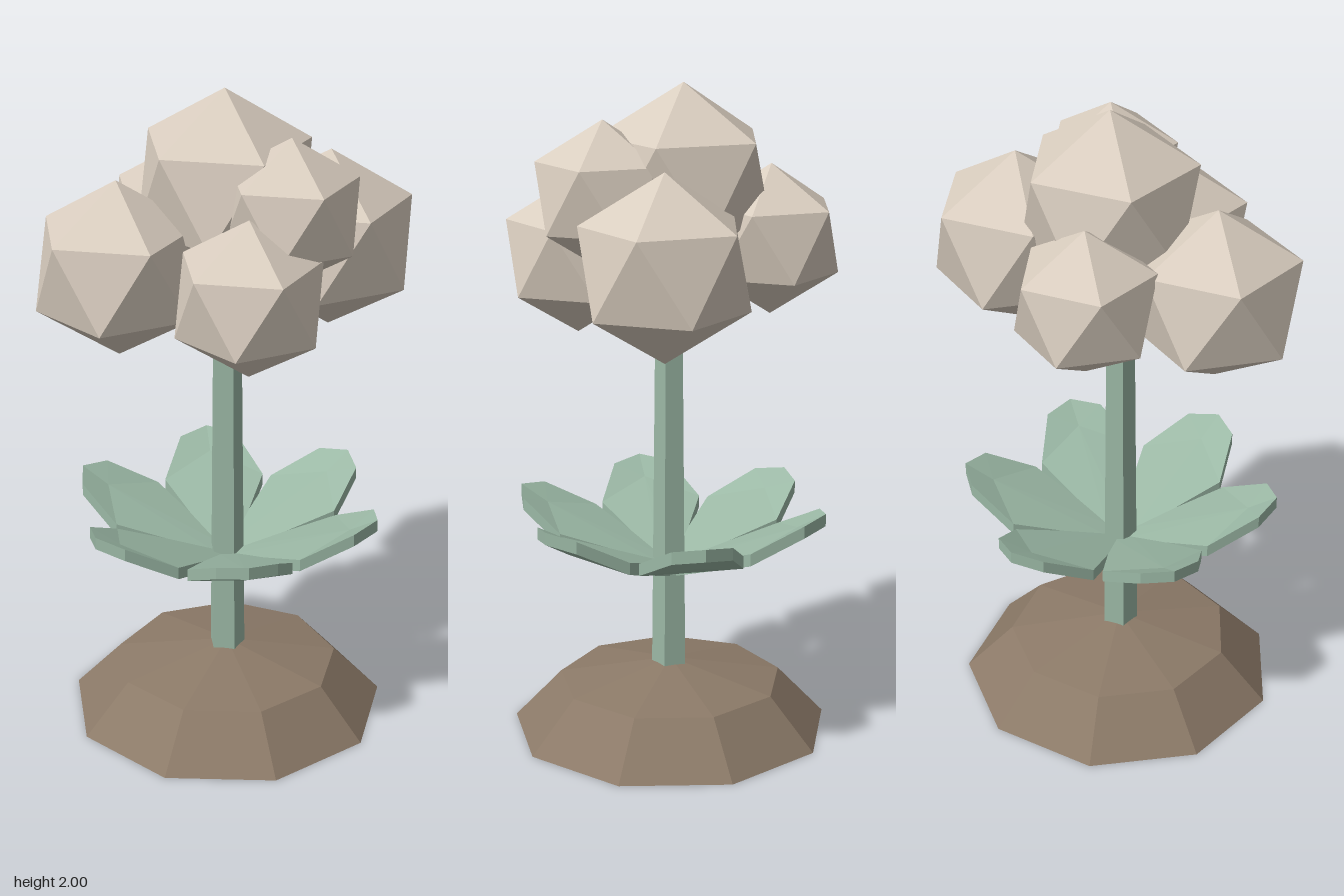
import * as THREE from 'three';

const flat = (name, color) => new THREE.MeshStandardMaterial({ name, color, flatShading: true });

// Leaf pointing along +z: a fan around a sunken midrib point, given thickness
function leafGeometry(thickness) {
  const half = [[0.09, 0.72, 0.445], [0.157, 0.64, 0.3], [0.028, 0.535, 0.02]];
  const outline = [
    [0, 0.735, 0.487],
    ...half,
    ...half.map(([x, y, z]) => [-x, y, z]).reverse(),
  ];
  const top = [...outline, [0, 0.685, 0.4]];
  const n = outline.length, m = n + 1;
  const positions = [...top, ...top.map(([x, y, z]) => [x, y - thickness, z])].flat();
  const index = [];
  for (let i = 0; i < n; i++) {
    const j = (i + 1) % n;
    index.push(n, i, j);                          // upper face
    index.push(n + m, j + m, i + m);              // underside
    index.push(i, i + m, j + m, i, j + m, j);     // rim
  }
  const g = new THREE.BufferGeometry();
  g.setAttribute('position', new THREE.Float32BufferAttribute(positions, 3));
  g.setIndex(index);
  const out = g.toNonIndexed();
  out.computeVertexNormals();
  return out;
}

// Icosahedron standing on a corner, upper ring starting at +x
function blossomGeometry(radius) {
  const golden = (1 + Math.sqrt(5)) / 2;
  return new THREE.IcosahedronGeometry(radius, 0)
    .rotateX(-Math.atan(golden))
    .rotateY(Math.PI / 2);
}

export function createModel() {
  const model = new THREE.Group();
  model.name = 'flower';
  const soil = flat('soil', 0x8c7a68);
  const green = flat('leafGreen', 0x9bb8a5);
  const cream = flat('blossomCream', 0xd9cdbf);

  const add = (parent, name, geometry, material) => {
    const mesh = new THREE.Mesh(geometry, material);
    mesh.name = name;
    parent.add(mesh);
    return mesh;
  };

  // Nine-sided earth mound with a closed base
  const profile = [[0, 0], [0.49, 0], [0.345, 0.155], [0, 0.22]].map(([r, y]) => new THREE.Vector2(r, y));
  add(model, 'mound', new THREE.LatheGeometry(profile, 9, Math.PI / 2), soil);

  // Tapered five-sided stem
  const stem = add(model, 'stem',
    new THREE.CylinderGeometry(0.046, 0.057, 1.03, 5, 1, false, Math.PI / 2), green);
  stem.position.y = 0.695;

  // Ring of six leaves
  const leaves = new THREE.Group();
  leaves.name = 'leaves';
  model.add(leaves);
  const leaf = leafGeometry(0.038);
  for (let i = 0; i < 6; i++) {
    add(leaves, 'leaf', leaf, green).rotation.y = (i * Math.PI) / 3;
  }

  // Blossom cluster: x, y, z, radius
  const blossoms = new THREE.Group();
  blossoms.name = 'blossoms';
  model.add(blossoms);
  const balls = [
    [0, 1.716, -0.04, 0.284],
    [-0.323, 1.5, 0.045, 0.267],
    [0.32, 1.516, -0.088, 0.274],
    [0.025, 1.479, 0.283, 0.236],
    [-0.112, 1.534, -0.275, 0.225],
    [0.164, 1.686, 0.151, 0.219],
  ];
  for (const [x, y, z, r] of balls) {
    add(blossoms, 'blossom', blossomGeometry(r), cream).position.set(x, y, z);
  }

  return model;
}
